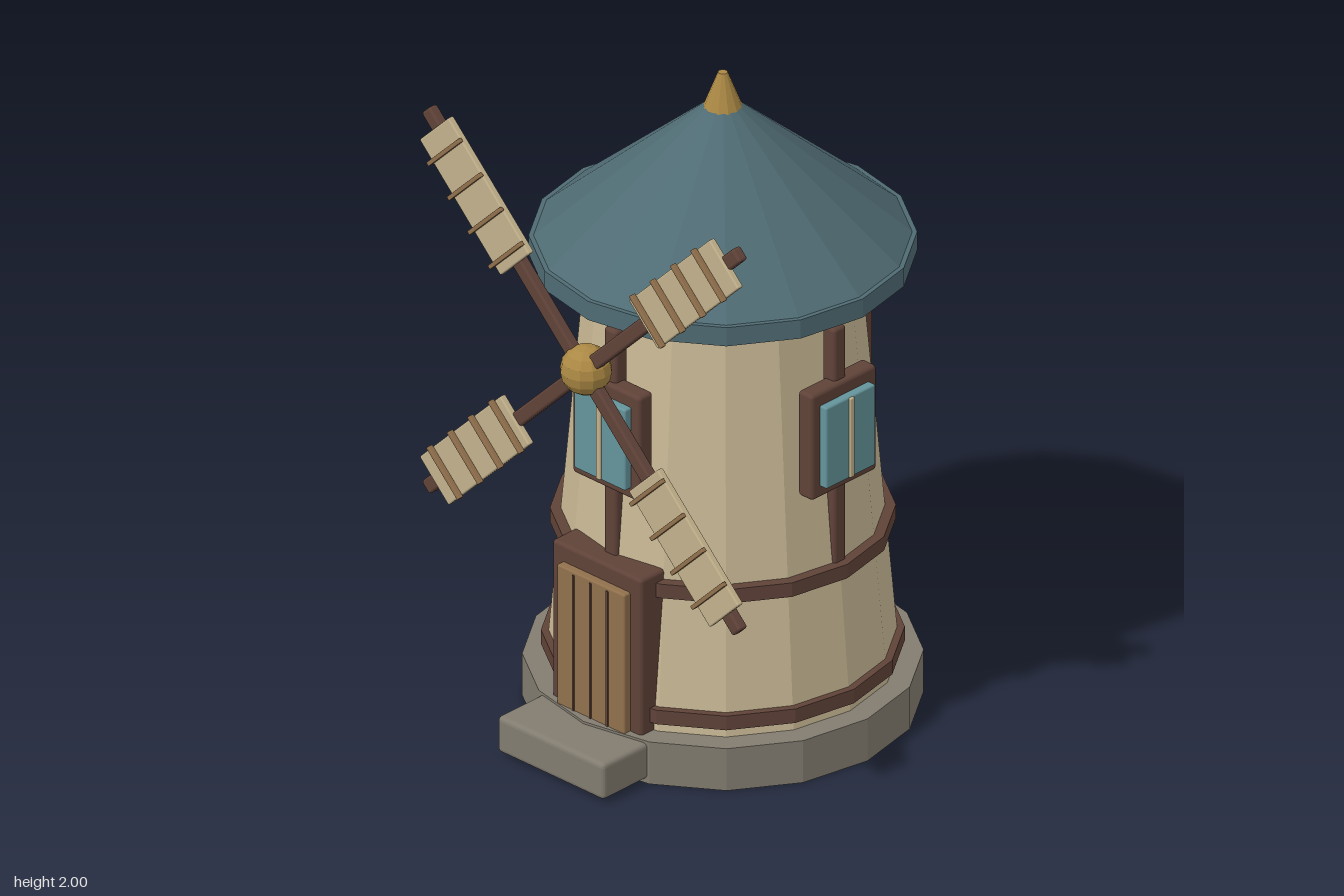
import * as THREE from 'three';
import { RoundedBoxGeometry } from 'three/addons/geometries/RoundedBoxGeometry.js';

const AXIS_Z = -0.068; // tower axis
const SIDES = 16;

function material(name, color, flatShading = false) {
  const m = new THREE.MeshStandardMaterial({ color, flatShading });
  m.name = name;
  return m;
}

export function createModel() {
  const model = new THREE.Group();
  model.name = 'windmill';

  const plaster = material('plaster', 0xc8b894, true);
  const stone = material('stone', 0x827c70, true);
  const roofBlue = material('roofBlue', 0x4f6b73, true);
  const brass = material('brass', 0xab8844, true);
  const timber = material('timber', 0x5f4238);
  const doorWood = material('doorWood', 0x90704c);
  const canvas = material('canvas', 0xc2b18c);
  const glass = material('glass', 0x64949b);

  function add(parent, name, geometry, mat, x = 0, y = 0, z = 0) {
    const mesh = new THREE.Mesh(geometry, mat);
    mesh.name = name;
    mesh.position.set(x, y, z);
    parent.add(mesh);
    return mesh;
  }
  // Box with softened edges
  const box = (parent, name, w, h, d, mat, x, y, z, r = 0.008) =>
    add(parent, name, new RoundedBoxGeometry(w, h, d, 2, r), mat, x, y, z);
  // Faceted ring or drum around the tower axis, from y0 to y1
  const drum = (name, r0, r1, y0, y1, mat) =>
    add(model, name, new THREE.CylinderGeometry(r1, r0, y1 - y0, SIDES), mat, 0, (y0 + y1) / 2, AXIS_Z);

  const flatTimber = material('timber', 0x5f4238, true);

  // Tower body and hoops
  drum('stoneBase', 0.565, 0.565, 0, 0.135, stone);
  drum('towerWall', 0.497, 0.384, 0.135, 1.43, plaster);
  drum('lowerBand', 0.512, 0.512, 0.165, 0.21, flatTimber);
  drum('middleBand', 0.487, 0.487, 0.558, 0.603, flatTimber);
  drum('upperBand', 0.407, 0.407, 1.37, 1.42, flatTimber);

  // Roof with eave and finial
  drum('eave', 0.547, 0.547, 1.42, 1.48, roofBlue);
  drum('roofCone', 0.533, 0.04, 1.48, 1.905, roofBlue);
  add(model, 'finial', new THREE.CylinderGeometry(0.014, 0.056, 0.11, 12), brass, 0, 1.945, AXIS_Z);

  // Upright posts on four sides, windows on three
  ['front', 'left', 'back', 'right'].forEach((side, i) => {
    const face = new THREE.Group();
    face.name = side + 'Wall';
    face.position.z = AXIS_Z;
    face.rotation.y = i * Math.PI / 2;
    model.add(face);
    box(face, 'post', 0.05, 0.82, 0.05, timber, 0, 0.945, 0.435, 0.012);
    if (side === 'right') return;
    box(face, 'windowFrame', 0.264, 0.338, 0.057, timber, 0, 1.02, 0.447, 0.012);
    box(face, 'windowPane', 0.2, 0.26, 0.03, glass, 0, 1.018, 0.486, 0.006);
    box(face, 'mullion', 0.018, 0.255, 0.012, canvas, 0, 1.018, 0.502, 0.004);
  });

  // Door and step
  box(model, 'doorFrame', 0.35, 0.535, 0.1, timber, 0, 0.367, 0.395, 0.012);
  box(model, 'door', 0.265, 0.48, 0.045, doorWood, 0, 0.34, 0.447, 0.006);
  for (const x of [-0.066, 0, 0.066]) {
    box(model, 'plankSeam', 0.008, 0.44, 0.008, timber, x, 0.35, 0.469, 0.002);
  }
  box(model, 'doorStep', 0.416, 0.115, 0.25, stone, 0, 0.07, 0.508, 0.014);

  // Sails: arm, canvas panel and four battens on each
  const sails = new THREE.Group();
  sails.name = 'sails';
  sails.position.set(0, 1.265, 0.487);
  model.add(sails);
  add(sails, 'hub', new THREE.SphereGeometry(0.075, 12, 8), brass);
  for (let i = 0; i < 4; i++) {
    const sail = new THREE.Group();
    sail.name = 'sail';
    sail.rotation.z = Math.PI / 4 + i * Math.PI / 2;
    sails.add(sail);
    box(sail, 'sailArm', 0.86, 0.044, 0.034, timber, 0.43, 0, 0.006);
    box(sail, 'sailPanel', 0.447, 0.16, 0.022, canvas, 0.578, 0, 0.019, 0.005);
    for (let k = 0; k < 4; k++) {
      box(sail, 'batten', 0.013, 0.172, 0.018, doorWood, 0.39 + k * 0.113, 0, 0.038, 0.003);
    }
  }

  return model;
}
